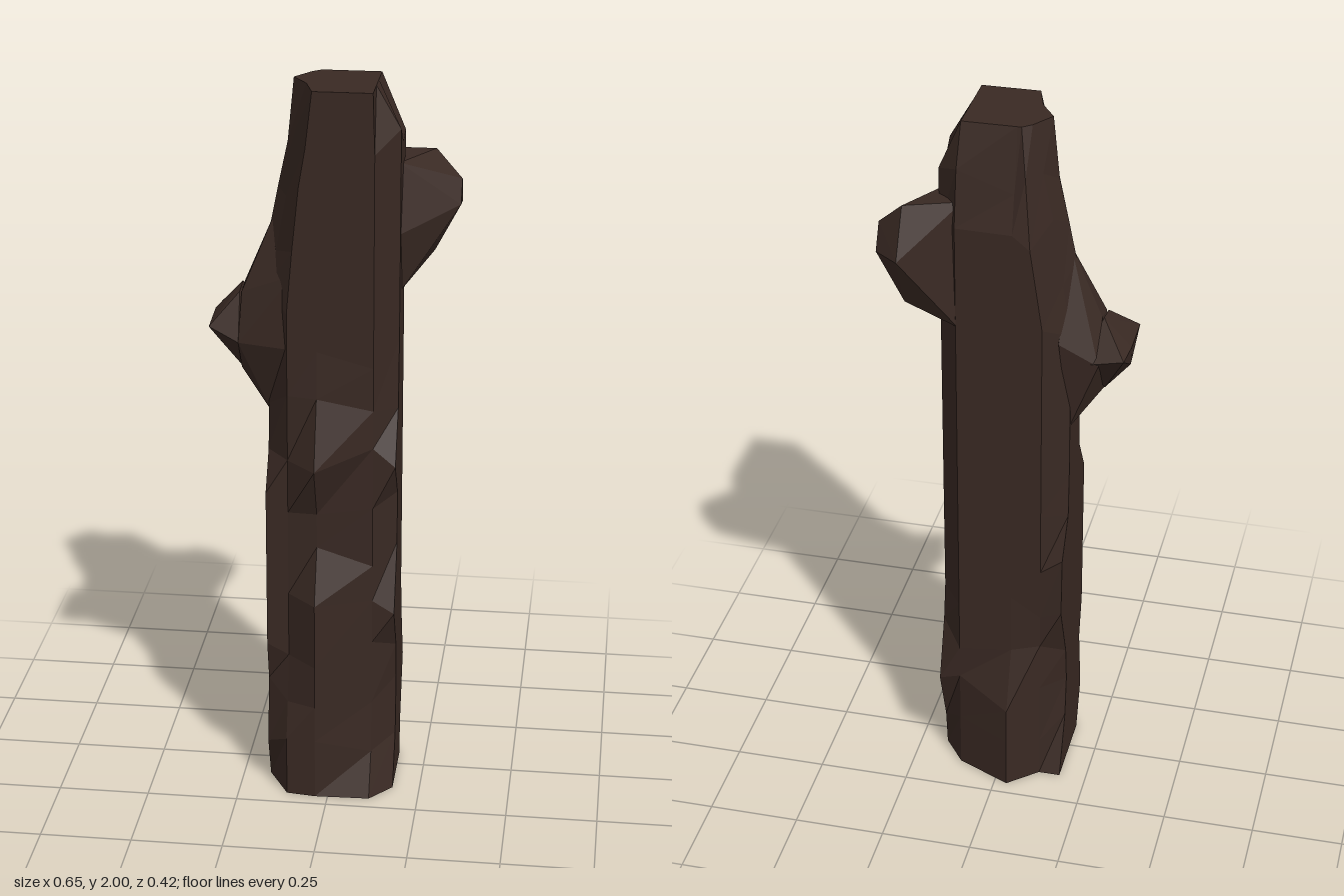
import * as THREE from 'three';
import { ConvexGeometry } from 'three/addons/geometries/ConvexGeometry.js';

const { lerp, clamp } = THREE.MathUtils;
const bark = new THREE.MeshStandardMaterial({ color: 0x392923, flatShading: true });

const SIDES = 12, ROWS = 14, HEIGHT = 2;

// Knobbly swellings: corner (0 is front, counting towards +x), from height, to height, amount
const SWELLINGS = [
  [0, 0, 0.57, 0.07], [0, 1, 1, 0.07],
  [1, 0, 0, 0.065], [2, 0, 0, 0.075], [2, 0.57, 0.57, 0.08], [2, 1, 1, 0.08],
  [4, 0.28, 0.3, 0.075],
  [6, 0, 0.28, 0.07],
  [8, 0, 0, 0.08], [8, 0.57, 0.7, 0.085],
  [10, 0.1, 0.2, 0.08], [10, 0.43, 0.86, 0.08], [11, 0, 0.2, 0.06],
];

// How far y has moved through a range, from 0 to 1
const along = (y, from, to) => clamp((y - from) / (to - from), 0, 1);

// Many-sided column, swollen at its knots and narrowed towards the top
function trunkGeometry() {
  const geo = new THREE.CylinderGeometry(1, 1, HEIGHT, SIDES, ROWS).toNonIndexed();
  const pos = geo.attributes.position;
  for (let i = 0; i < pos.count; i++) {
    const px = pos.getX(i), pz = pos.getZ(i), y = pos.getY(i) + HEIGHT / 2;
    if (Math.hypot(px, pz) < 0.5) { // centre of an end cap
      pos.setXYZ(i, 0, y, 0.02);
      continue;
    }
    const corner = (Math.round(Math.atan2(px, pz) / (Math.PI / 6)) + SIDES) % SIDES;
    const ridge = corner % 6 === 0, side = corner % 6 === 3;

    // Blocky section with cut corners and off-centre front and back ridges
    let x = ridge ? -0.035 : Math.sign(px) * (Math.abs(px) < 0.6 ? 0.115 : 0.175);
    let z = side ? 0 : Math.sign(pz) * (Math.abs(pz) > 0.6 ? 0.14 : 0.06);
    for (const [c, low, high, amount] of SWELLINGS) {
      if (c === corner) z += Math.sign(pz) * amount * Math.max(0, 1 - Math.abs(y - clamp(y, low, high)) / 0.17);
    }

    // The left slopes in early; the right and back are cut close to the top
    if (x < 0 && side) x *= lerp(1, 0.63, along(y, 1.6, 1.95));
    else if (x < 0 && !ridge) x *= lerp(1, 0.4, along(y, 1.45, 2));
    x = Math.min(x, lerp(0.175, 0.11, along(y, 1.86, 2)));
    z = Math.max(z, -lerp(0.22, 0.14, along(y, 1, 1.5)) + 0.06 * along(y, 1.75, 2));

    const inner = y > 0.01 && y < HEIGHT - 0.01;
    pos.setXYZ(i, x, inner ? y + 0.03 * Math.sin(corner * 2.3 + Math.round(y * 7) * 1.7) : y, z);
  }
  geo.computeVertexNormals();
  return geo;
}

// Chunky branch stub wrapped around its corner points
const stubGeometry = (points) => new ConvexGeometry(points.map((p) => new THREE.Vector3(...p)));

export function createModel() {
  const model = new THREE.Group();
  const add = (name, geometry) => {
    const mesh = new THREE.Mesh(geometry, bark);
    mesh.name = name;
    model.add(mesh);
  };

  add('trunk', trunkGeometry());

  // Upper stub, leaning out to the back
  add('upperBranch', stubGeometry([
    [0.1, 1.79, -0.11], [0.165, 1.78, 0], [0.172, 1.6, 0.05], [0.172, 1.43, 0], [0.11, 1.44, -0.138],
    [0.25, 1.78, -0.145], [0.25, 1.65, -0.213], [0.25, 1.5, -0.14],
    [0.322, 1.64, -0.145], [0.322, 1.71, -0.11], [0.322, 1.65, -0.072],
  ]));

  // Lower stub: a sloping root and a broken, pointed end
  add('lowerBranchRoot', stubGeometry([
    [-0.16, 1.64, 0], [-0.1, 1.5, 0.12], [-0.1, 1.3, 0.139], [-0.17, 1.09, 0.05], [-0.17, 1.12, -0.05], [-0.15, 1.4, -0.1],
    [-0.245, 1.44, 0], [-0.245, 1.43, 0.06], [-0.25, 1.21, 0.04], [-0.25, 1.33, -0.07], [-0.25, 1.3, 0.1],
  ]));
  add('lowerBranchTip', stubGeometry([
    [-0.25, 1.44, 0], [-0.25, 1.43, 0.06], [-0.25, 1.3, 0.1], [-0.25, 1.21, 0.03], [-0.2, 1.33, -0.075],
    [-0.325, 1.36, 0], [-0.322, 1.355, 0.133], [-0.318, 1.355, -0.075], [-0.318, 1.29, 0.03],
  ]));

  return model;
}
